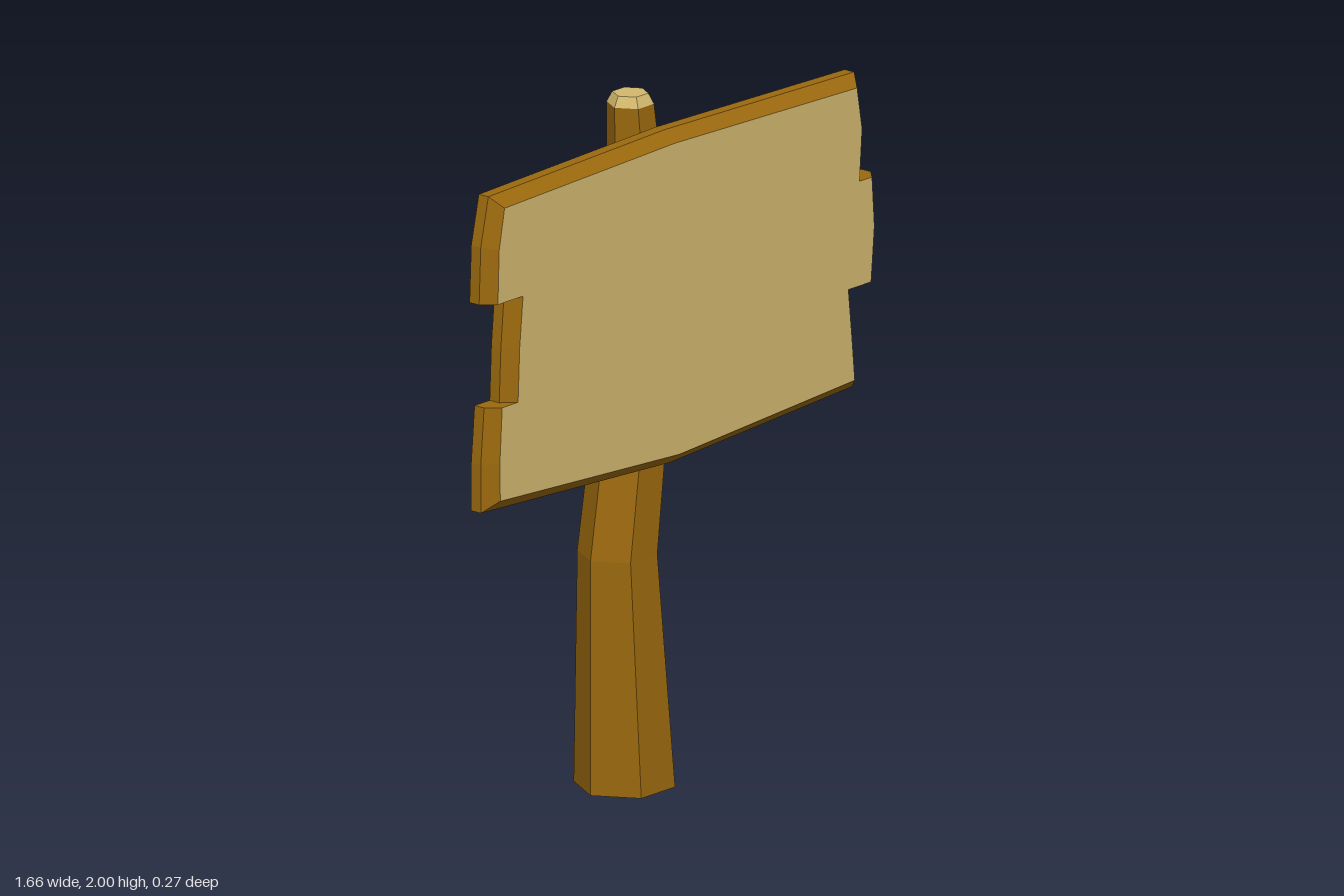
import * as THREE from 'three';

// Skin over matching loops, each counter-clockwise seen from the end of the run.
function loft(loops) {
  const p = [];
  for (let k = 0; k < loops.length - 1; k++) {
    const a = loops[k], b = loops[k + 1];
    a.forEach((_, i) => {
      const j = (i + 1) % a.length;
      p.push(...a[i], ...a[j], ...b[j], ...a[i], ...b[j], ...b[i]);
    });
  }
  return toGeometry(p);
}

// Flat fan closing one loop.
function fan(loop) {
  const p = [];
  for (let i = 1; i < loop.length - 1; i++) p.push(...loop[0], ...loop[i], ...loop[i + 1]);
  return toGeometry(p);
}

function toGeometry(p) {
  const g = new THREE.BufferGeometry();
  g.setAttribute('position', new THREE.Float32BufferAttribute(p, 3));
  g.computeVertexNormals();
  return g;
}

const hexRing = (x, y, r) => Array.from({ length: 6 }, (_, i) => {
  const a = (i * Math.PI) / 3;
  return [x + r * Math.cos(a), y, -0.012 - r * Math.sin(a)];
});

export function createModel() {
  const bark = new THREE.MeshStandardMaterial({ color: 0x9b690e });
  bark.name = 'brown bark';
  const wood = new THREE.MeshStandardMaterial({ color: 0xd2b96e });
  wood.name = 'pale cut wood';

  const model = new THREE.Group();
  model.name = 'signpost';
  const add = (parent, name, geometry, material) => {
    const m = new THREE.Mesh(geometry, material);
    m.name = name;
    parent.add(m);
  };

  // Crooked six-sided post with a chamfered pale tip
  const post = new THREE.Group();
  post.name = 'post';
  model.add(post);
  const rings = [
    hexRing(-0.092, 0, 0.143),
    hexRing(-0.122, 0.68, 0.113),
    hexRing(-0.018, 1.39, 0.099),
    hexRing(-0.067, 1.97, 0.067),
  ];
  const tip = hexRing(-0.067, 2, 0.051);
  add(post, 'postTrunk', loft(rings), bark);
  add(post, 'postTipChamfer', loft([rings[3], tip]), wood);
  add(post, 'postTop', fan(tip), wood);
  add(post, 'postBase', fan([...rings[0]].reverse()), wood);

  // Planks: each corner is [outer x, outer y, inner x, inner y]
  const planks = {
    topPlank: [
      [-0.835, 1.585, -0.798, 1.585], [0.765, 1.585, 0.73, 1.585], [0.777, 1.74, 0.741, 1.735],
      [0.75, 1.89, 0.72, 1.858], [-0.05, 1.91, -0.05, 1.878], [-0.796, 1.89, -0.77, 1.858],
      [-0.828, 1.75, -0.793, 1.74],
    ],
    middlePlank: [
      [-0.75, 1.282, -0.713, 1.282], [0.82, 1.282, 0.779, 1.282], [0.83, 1.44, 0.793, 1.44],
      [0.82, 1.585, 0.783, 1.585], [-0.73, 1.585, -0.692, 1.585], [-0.743, 1.44, -0.706, 1.44],
    ],
    bottomPlank: [
      [-0.828, 0.98, -0.788, 1.013], [-0.03, 0.94, -0.03, 0.972], [0.742, 0.98, 0.71, 1.013],
      [0.736, 1.13, 0.699, 1.13], [0.72, 1.282, 0.683, 1.282], [-0.814, 1.282, -0.78, 1.282],
      [-0.828, 1.12, -0.79, 1.12],
    ],
  };
  for (const [name, corners] of Object.entries(planks)) {
    const plank = new THREE.Group();
    plank.name = name;
    model.add(plank);
    const back = corners.map(([x, y]) => [x, y, 0.065]);
    const shoulder = corners.map(([x, y]) => [x, y, 0.1]);
    const face = corners.map(([, , x, y]) => [x, y, 0.137]);
    add(plank, name + 'Edge', loft([back, shoulder, face]), bark);
    add(plank, name + 'Front', fan(face), wood);
    add(plank, name + 'Back', fan([...back].reverse()), wood);
  }
  return model;
}
